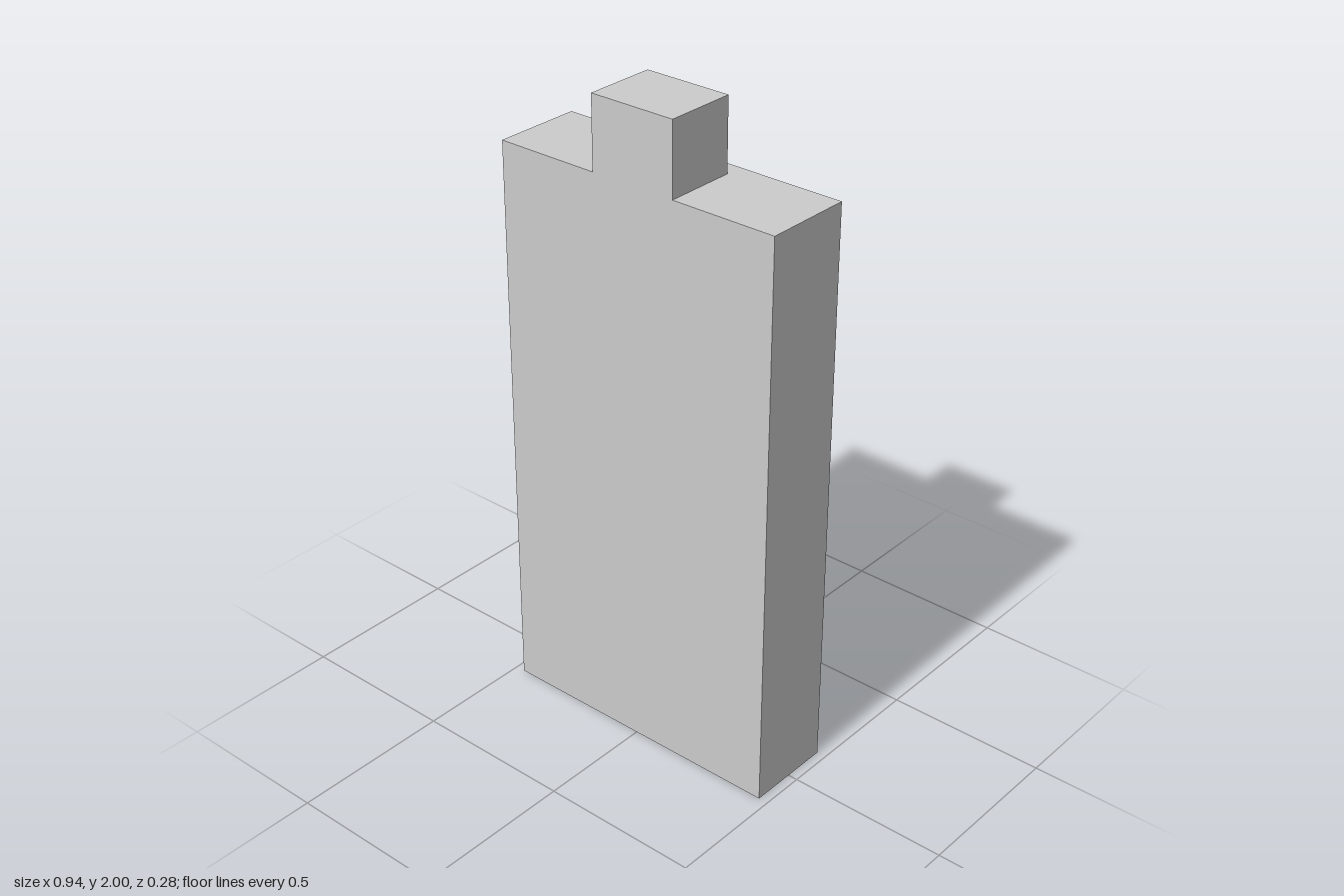
import * as THREE from 'three';

const material = new THREE.MeshStandardMaterial({ color: 0xcccccc, flatShading: true });

// Box given by its lower and upper corners
function block(name, min, max) {
  const size = max.map((v, i) => v - min[i]);
  const mesh = new THREE.Mesh(new THREE.BoxGeometry(...size), material);
  mesh.position.set(...max.map((v, i) => (v + min[i]) / 2));
  mesh.name = name;
  return mesh;
}

export function createModel() {
  const model = new THREE.Group();
  model.name = 'slabWithTab';

  const halfDepth = 0.138;
  const shoulder = 1.78;

  // Tall flat slab
  model.add(block('body', [-0.47, 0, -halfDepth], [0.47, shoulder, halfDepth]));

  // Small tab on top, flush with the front face and set in from the back
  model.add(block('topTab', [-0.138, shoulder, -0.083], [0.138, 2, halfDepth]));

  return model;
}
